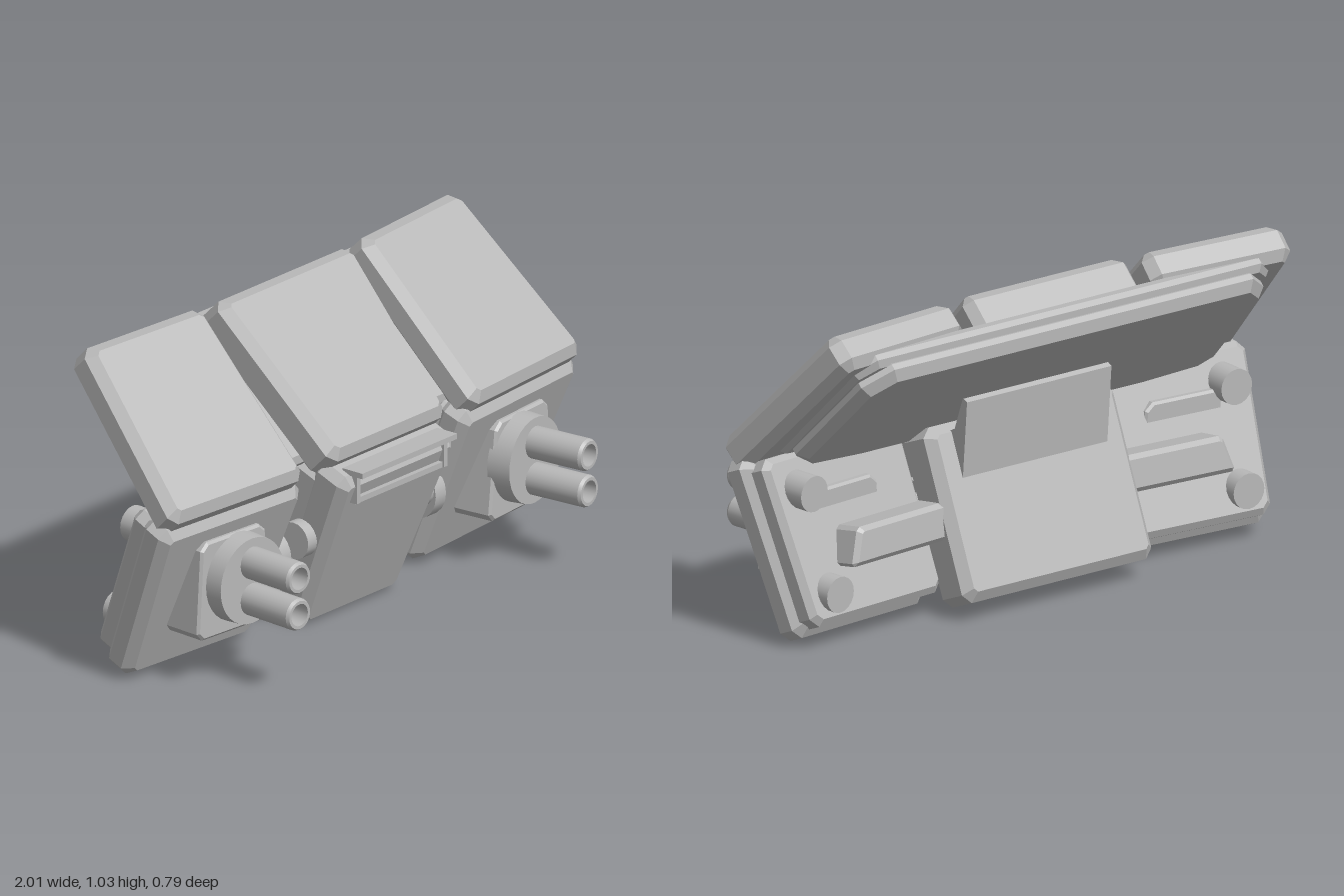
import * as THREE from 'three';

const grey = new THREE.MeshStandardMaterial({ color: 0xb8b8b8 });
grey.name = 'plain grey';

const LOWER_TILT = 0.384, UPPER_TILT = -Math.PI / 4, YAW = 0.083;

function add(parent, name, geometry, x = 0, y = 0, z = 0) {
  const mesh = new THREE.Mesh(geometry, grey);
  mesh.name = name;
  mesh.position.set(x, y, z);
  parent.add(mesh);
  return mesh;
}

function addGroup(parent, name) {
  const group = new THREE.Group();
  group.name = name;
  parent.add(group);
  return group;
}

// Tapered slab with cut corners and bevelled faces; bottom and top are [x0, x1]
function slab(side, bottom, top, y0, y1, z0, z1, bevel = 0.03, cut = 0.03) {
  const corners = [[bottom[0], y0], [bottom[1], y0], [top[1], y1], [top[0], y1]]
    .map(([x, y]) => new THREE.Vector2(x * side, y));
  const points = [];
  corners.forEach((c, i) => {
    for (const n of [corners[(i + 3) % 4], corners[(i + 1) % 4]]) {
      points.push(c.clone().add(n.clone().sub(c).setLength(cut)));
    }
  });
  const geometry = new THREE.ExtrudeGeometry(new THREE.Shape(points), {
    depth: z1 - z0 - 2 * bevel, bevelEnabled: true, bevelSegments: 1,
    bevelSize: bevel, bevelThickness: bevel, bevelOffset: -bevel,
  });
  return geometry.translate(0, 0, z0 + bevel);
}

function barrelGeometry() {
  const profile = [[0, 0], [0.052, 0], [0.052, 0.2], [0.046, 0.21], [0.036, 0.21], [0.036, 0.06], [0, 0.06]];
  const points = profile.map(([r, h]) => new THREE.Vector2(r, h));
  // Separate segments keep the rim edges sharp
  return points.slice(1).map((p, i) => new THREE.LatheGeometry([points[i], p], 24).rotateX(Math.PI / 2));
}

// Outer module: lower and upper panel, gun mount and rear fittings
function addOuterModule(root, side) {
  const module = addGroup(root, side > 0 ? 'leftModule' : 'rightModule');
  module.position.x = 0.69 * side;
  module.rotation.y = YAW * side;

  const lower = addGroup(module, 'lowerPanel');
  lower.rotation.x = LOWER_TILT;
  add(lower, 'lowerFrontPlate', slab(side, [-0.29, 0.27], [-0.315, 0.31], -0.02, 0.565, -0.19, -0.075));
  add(lower, 'lowerBackPlate', slab(side, [-0.31, 0.25], [-0.31, 0.285], 0, 0.545, -0.25, -0.16, 0.02));

  const upper = addGroup(module, 'upperPanel');
  upper.rotation.x = UPPER_TILT;
  add(upper, 'upperFrontPlate', slab(side, [-0.295, 0.295], [-0.285, 0.24], 0.31, 0.945, 0.425, 0.55));

  // Mount block, turret disc and the pair of hollow barrels
  add(module, 'mountBlock', slab(side, [-0.18, 0.16], [-0.14, 0.14], 0.16, 0.48, -0.1, 0.13, 0.008, 0.025));
  add(module, 'mountDisc', new THREE.CylinderGeometry(0.14, 0.145, 0.08, 32).rotateX(Math.PI / 2), -0.02 * side, 0.335, 0.15);
  for (const y of [0.395, 0.275]) {
    const barrel = addGroup(module, 'barrel');
    barrel.position.set(-0.02 * side, y, 0.185);
    barrelGeometry().forEach((g) => add(barrel, 'barrelSurface', g));
  }

  // Rear bosses and the wedge-shaped rib
  add(module, 'upperBoss', new THREE.CylinderGeometry(0.058, 0.058, 0.12, 20).rotateX(Math.PI / 2), 0.17 * side, 0.49, -0.08);
  add(module, 'lowerBoss', new THREE.CylinderGeometry(0.058, 0.058, 0.13, 20).rotateX(Math.PI / 2), 0.15 * side, 0.18, -0.17);
  const rib = add(module, 'rearRib', slab(side, [-0.33, 0.1], [-0.33, 0.06], -0.06, 0.06, -0.08, 0.08, 0.015, 0.012), 0, 0.305, -0.16);
  rib.rotation.x = 0.15;

  // Round hinge ends in the gap beside the centre panel
  add(root, 'outerHinge', new THREE.CylinderGeometry(0.09, 0.09, 0.05, 20).rotateZ(Math.PI / 2), 0.375 * side, 0.28, -0.02);
  add(root, 'innerHinge', new THREE.CylinderGeometry(0.06, 0.06, 0.06, 20).rotateZ(Math.PI / 2), 0.275 * side, 0.32, 0.04);
}

function addCentre(root) {
  const lower = addGroup(root, 'centreLower');
  lower.rotation.x = LOWER_TILT;
  add(lower, 'centreLowerPanel', slab(1, [-0.24, 0.24], [-0.28, 0.28], 0, 0.59, -0.13, 0.01));
  add(lower, 'centreCore', slab(1, [-0.25, 0.25], [-0.27, 0.27], 0.03, 0.55, -0.25, -0.09, 0.01));
  add(lower, 'centreBackBox', slab(1, [-0.38, 0.38], [-0.38, 0.38], -0.05, 0.51, -0.35, -0.19));

  const upper = addGroup(root, 'centreUpper');
  upper.rotation.x = UPPER_TILT;
  add(upper, 'centreUpperPanel', slab(1, [-0.28, 0.28], [-0.33, 0.33], 0.3, 0.92, 0.43, 0.575));

  // Rear plate spanning all the upper panels
  add(upper, 'rearPlateRim', slab(1, [-0.88, 0.88], [-0.83, 0.83], 0.37, 0.94, 0.4, 0.46, 0.02, 0.06));
  add(upper, 'rearPlate', slab(1, [-0.85, 0.85], [-0.8, 0.8], 0.38, 0.93, 0.35, 0.43, 0.03, 0.08));

  // Rear support wedge, drawn in profile and extruded across
  const profile = [[0.2, 0.7], [0.22, 0.69], [0.2, 0.44], [0.06, 0.44], [0.08, 0.55], [0.16, 0.59]];
  const shape = new THREE.Shape(profile.map(([z, y]) => new THREE.Vector2(z, y)));
  const wedge = new THREE.ExtrudeGeometry(shape, { depth: 0.58, bevelEnabled: false });
  add(root, 'rearSupport', wedge.translate(0, 0, -0.29).rotateY(Math.PI / 2));

  // Thin front ledge with a frame hanging below
  add(root, 'frontLedge', new THREE.BoxGeometry(0.46, 0.018, 0.08), 0, 0.562, 0.215);
  add(root, 'frameBar', new THREE.BoxGeometry(0.44, 0.018, 0.03), 0, 0.468, 0.205);
  for (const side of [-1, 1]) {
    add(root, 'framePost', new THREE.BoxGeometry(0.018, 0.1, 0.03), 0.211 * side, 0.51, 0.21);
  }
}

export function createModel() {
  const root = new THREE.Group();
  root.name = 'twinTurretPanels';
  addCentre(root);
  addOuterModule(root, 1);
  addOuterModule(root, -1);
  return root;
}
